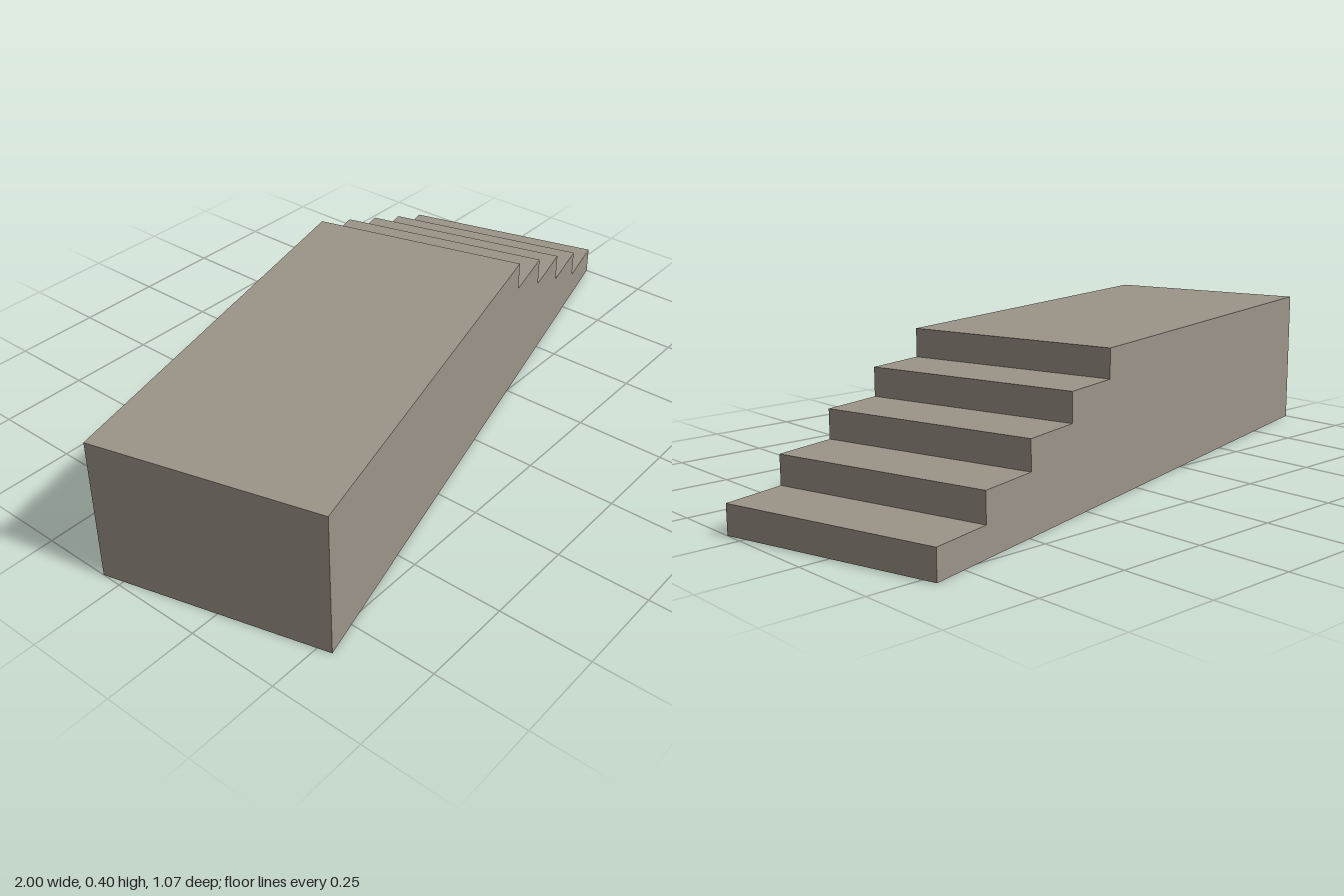
import * as THREE from 'three';

export function createModel() {
  const group = new THREE.Group();
  const stone = new THREE.MeshStandardMaterial({ color: 0x9c9488 });
  stone.name = 'warm grey stone';

  const length = 1.907, width = 0.612, height = 0.396;
  const steps = 5, rise = height / steps, tread = 0.182;

  // Side profile: long platform, then treads descending towards +x
  const profile = new THREE.Shape();
  profile.moveTo(-length / 2, 0);
  profile.lineTo(length / 2, 0);
  for (let i = 0; i < steps; i++) {
    const x = length / 2 - i * tread;
    if (i > 0) profile.lineTo(x, i * rise);
    profile.lineTo(x, (i + 1) * rise);
  }
  profile.lineTo(-length / 2, height);
  profile.closePath();

  const geometry = new THREE.ExtrudeGeometry(profile, { depth: width, bevelEnabled: false });
  geometry.translate(0, 0, -width / 2);

  // The block stands turned on its base
  const block = new THREE.Mesh(geometry, stone);
  block.name = 'steppedPlatform';
  block.rotation.y = THREE.MathUtils.degToRad(14.65);
  group.add(block);
  return group;
}
